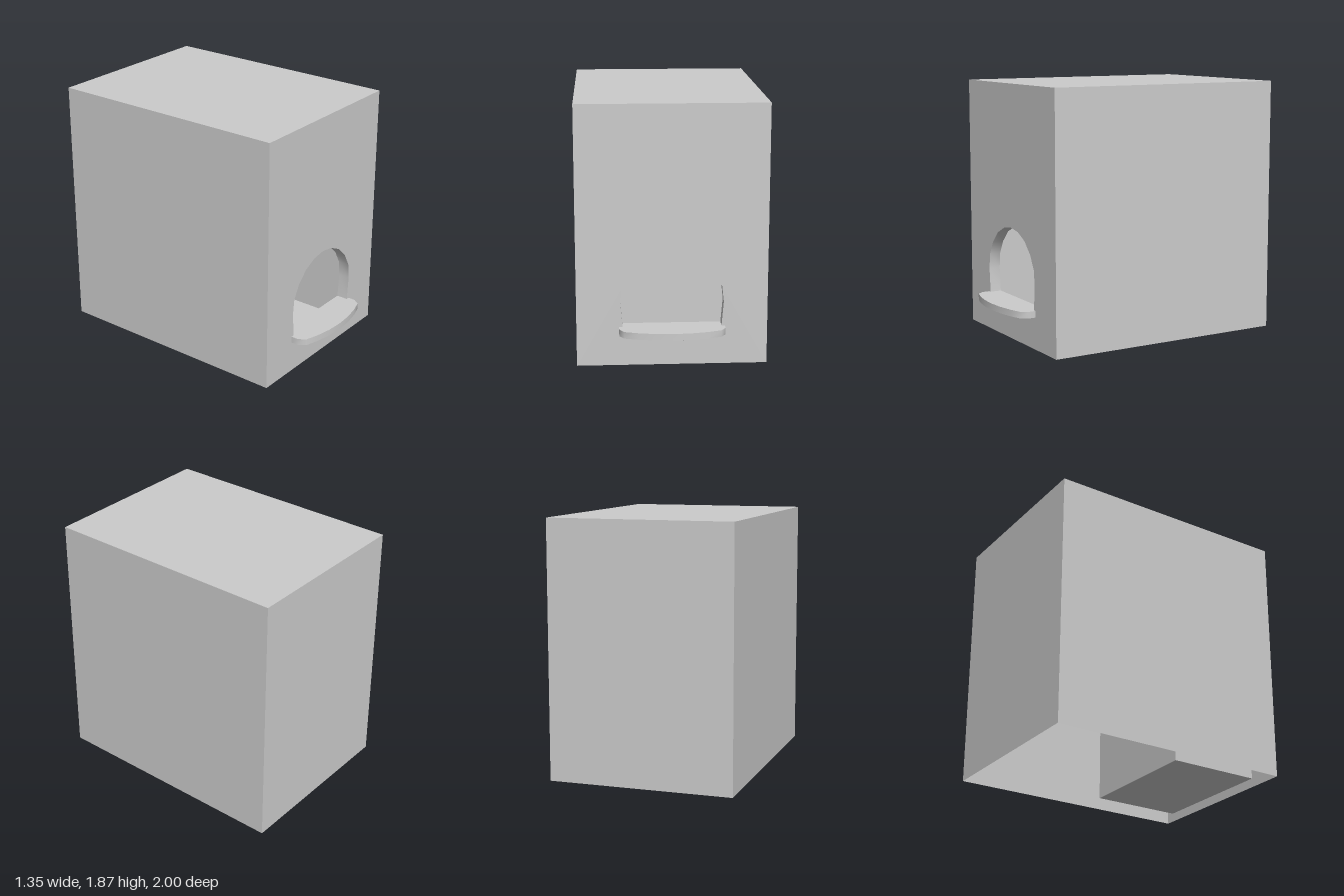
import * as THREE from 'three';
import { mergeGeometries, toCreasedNormals } from 'three/addons/utils/BufferGeometryUtils.js';

const material = new THREE.MeshStandardMaterial({ color: 0xcccccc, side: THREE.DoubleSide });

const W = 0.675, H = 1.87, BACK = -1, FRONT = 0.835; // outer shell
const IW = 0.495, I0 = 0.02, I1 = 1.0, IBACK = 0.065, IFRONT = 0.75; // inner compartment
const SILL = 0.283;

// Right half of the arched opening, from the sill up to the crown
const half = [[0.35, SILL], [0.365, 0.46], [0.352, 0.576], [0.298, 0.675], [0.213, 0.76], [0.109, 0.81], [0, 0.827]];
const arch = [...half, ...half.slice(0, -1).reverse().map(([x, y]) => [-x, y])];

// One rectangular wall, turned and then placed
function wall(w, h, rx, ry, x, y, z) {
  return new THREE.PlaneGeometry(w, h).rotateX(rx).rotateY(ry).translate(x, y, z);
}

// Rectangular wall facing +z with the arched opening cut out
function archedWall(hw, y0, y1, z) {
  const shape = new THREE.Shape([[-hw, y0], [hw, y0], [hw, y1], [-hw, y1]].map(p => new THREE.Vector2(...p)));
  shape.holes.push(new THREE.Path(arch.map(p => new THREE.Vector2(...p))));
  return new THREE.ShapeGeometry(shape).translate(0, 0, z);
}

// Skin between successive closed rings of points
function loft(rings) {
  const n = rings[0].length, index = [];
  for (let r = 0; r < rings.length - 1; r++) {
    for (let i = 0; i < n; i++) {
      const a = r * n + i, b = r * n + (i + 1) % n;
      index.push(a, b, b + n, a, b + n, a + n);
    }
  }
  const g = new THREE.BufferGeometry();
  g.setAttribute('position', new THREE.Float32BufferAttribute(rings.flat(2), 3));
  g.setIndex(index);
  return toCreasedNormals(g, 0.7);
}

// Four sides and a top or floor of a hollow box, without its front
function boxWalls(hw, y0, y1, zb, zf) {
  const h = y1 - y0, d = zf - zb, cy = (y0 + y1) / 2, cz = (zb + zf) / 2;
  return [
    wall(d, h, 0, Math.PI / 2, hw, cy, cz),
    wall(d, h, 0, -Math.PI / 2, -hw, cy, cz),
    wall(2 * hw, h, 0, Math.PI, 0, cy, zb),
    wall(2 * hw, d, -Math.PI / 2, 0, 0, y1, cz),
  ];
}

export function createModel() {
  const group = new THREE.Group();
  const add = (name, geometry) => {
    const mesh = new THREE.Mesh(geometry, material);
    mesh.name = name;
    group.add(mesh);
  };

  // Outer housing, open underneath
  add('housing', mergeGeometries([
    ...boxWalls(W, 0, H, BACK, FRONT),
    archedWall(W, 0, H, FRONT),
  ]));

  // Hollow compartment behind the opening
  add('compartment', mergeGeometries([
    ...boxWalls(IW, I0, I1, IBACK, IFRONT),
    wall(2 * IW, IFRONT - IBACK, Math.PI / 2, 0, 0, I0, (IBACK + IFRONT) / 2),
    archedWall(IW, I0, I1, IFRONT),
  ]));

  // Short tunnel joining the opening to the compartment
  add('openingJamb', loft([FRONT, IFRONT].map(z => arch.map(([x, y]) => [x, y, z]))));

  // Bowed shelf with a bevelled underside
  const bow = [[0.374, 0], [0.374, 0.055], [0.34, 0.105], [0.243, 0.135], [0.127, 0.157], [0, 0.165]];
  const outline = [...bow, ...bow.slice(0, -1).reverse().map(([x, z]) => [-x, z])];
  const ring = (y, sx, sz) => outline.map(([x, z]) => [x * sx, y, FRONT + z * sz]);
  add('shelfEdge', loft([ring(0.217, 0.78, 0.7), ring(0.235, 1, 1), ring(SILL, 1, 1)].reverse()));
  const cap = (y, sx, sz, turn) => {
    const shape = new THREE.Shape(outline.map(([x, z]) => new THREE.Vector2(x * sx, z * sz)));
    return new THREE.ShapeGeometry(shape).rotateX(Math.PI / 2).translate(0, y, FRONT);
  };
  const top = cap(SILL, 1, 1);
  // Turn the top face upward
  top.setIndex([...top.index.array].reverse());
  top.computeVertexNormals();
  add('shelfTop', top);
  add('shelfUnderside', cap(0.217, 0.78, 0.7));

  return group;
}
